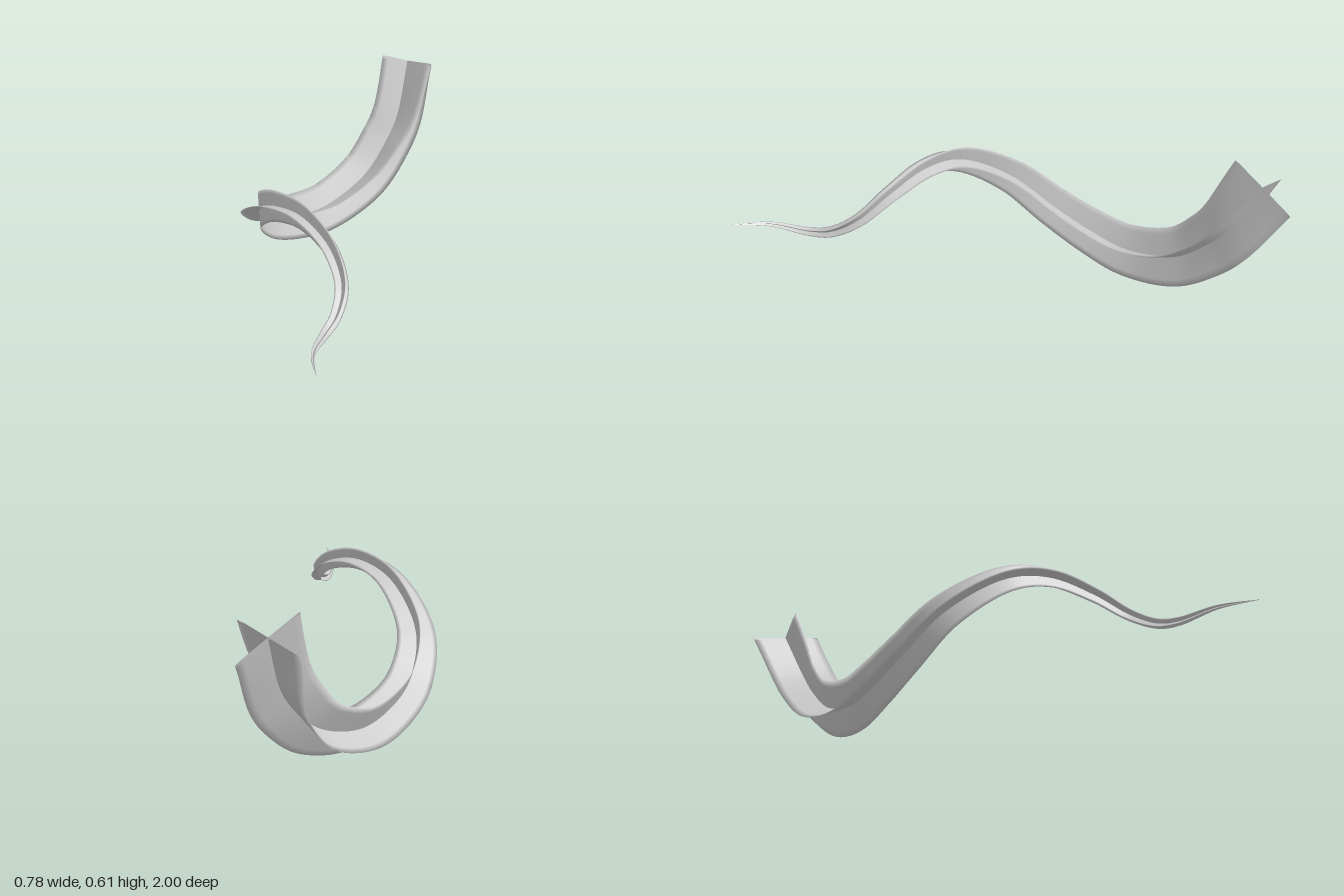
import * as THREE from 'three';

const STEPS = 180;
const START_RADIUS = 0.142;
const EARLY_TWIST = THREE.MathUtils.degToRad(18);

// Thin ribbon section: across the width, then thickness, per unit of radius
const SECTION = [
  [1, 0], [0.78, 0.02], [0, 0.02], [-0.78, 0.02],
  [-1, 0], [-0.78, -0.02], [0, -0.02], [0.78, -0.02],
];

// Centre line: a short straight stem running into a tapering conical spiral
const path = new THREE.CatmullRomCurve3([
  [0.284, 0.555, -0.893], [0.238, 0.352, -0.79], [0.19, 0.262, -0.735],
  [0.1, 0.157, -0.645], [-0.06, 0.095, -0.505], [-0.182, 0.12, -0.385],
  [-0.273, 0.184, -0.265], [-0.321, 0.312, -0.11], [-0.258, 0.457, 0.1],
  [-0.158, 0.499, 0.25], [-0.065, 0.461, 0.4], [-0.029, 0.389, 0.52],
  [-0.052, 0.334, 0.62], [-0.092, 0.317, 0.7], [-0.13, 0.343, 0.84],
  [-0.12, 0.366, 1.0],
].map((p) => new THREE.Vector3(...p)), false, 'centripetal');
path.arcLengthDivisions = 800;

// Frames carried along the path, with a slight extra twist in the stem
function makeFrames() {
  const frames = [];
  const side = new THREE.Vector3(-0.75, 0.43, 0.5);
  let last = null;
  for (let i = 0; i <= STEPS; i++) {
    const t = i / STEPS;
    const tangent = path.getTangentAt(t);
    if (last) side.applyQuaternion(new THREE.Quaternion().setFromUnitVectors(last, tangent));
    side.addScaledVector(tangent, -side.dot(tangent)).normalize();
    const twist = EARLY_TWIST * THREE.MathUtils.smoothstep(t, 0, 0.22);
    const a = side.clone().applyAxisAngle(tangent, twist);
    frames.push({
      point: path.getPointAt(t),
      tangent,
      a,
      b: new THREE.Vector3().crossVectors(tangent, a),
      radius: START_RADIUS * (1 - t),
    });
    last = tangent;
  }
  return frames;
}

// One thin ribbon with softened edges, spanning both sides of the centre line
function makeRibbon(frames, axis, name, material) {
  const positions = [];
  const index = [];
  const n = SECTION.length;
  frames.forEach((f, i) => {
    const normal = new THREE.Vector3().crossVectors(f.tangent, f[axis]);
    SECTION.forEach(([w, h], k) => {
      const v = f.point.clone()
        .addScaledVector(f[axis], w * f.radius)
        .addScaledVector(normal, h * f.radius);
      positions.push(v.x, v.y, v.z);
      if (i === STEPS) return;
      const p = i * n + k;
      const q = i * n + (k + 1) % n;
      index.push(p, q, p + n, q, q + n, p + n);
    });
  });
  const geometry = new THREE.BufferGeometry();
  geometry.setAttribute('position', new THREE.Float32BufferAttribute(positions, 3));
  geometry.setIndex(index);
  geometry.computeVertexNormals();
  const mesh = new THREE.Mesh(geometry, material);
  mesh.name = name;
  return mesh;
}

export function createModel() {
  const group = new THREE.Group();
  group.name = 'spiralTendril';
  const material = new THREE.MeshStandardMaterial({ color: 0xcccccc, side: THREE.DoubleSide });
  const frames = makeFrames();

  // Two perpendicular ribbons form the cross-shaped section
  group.add(makeRibbon(frames, 'a', 'firstRibbon', material));
  group.add(makeRibbon(frames, 'b', 'secondRibbon', material));

  // Stand on the ground, centred
  const box = new THREE.Box3().setFromObject(group);
  const centre = box.getCenter(new THREE.Vector3());
  group.position.set(-centre.x, -box.min.y, -centre.z);
  return group;
}
